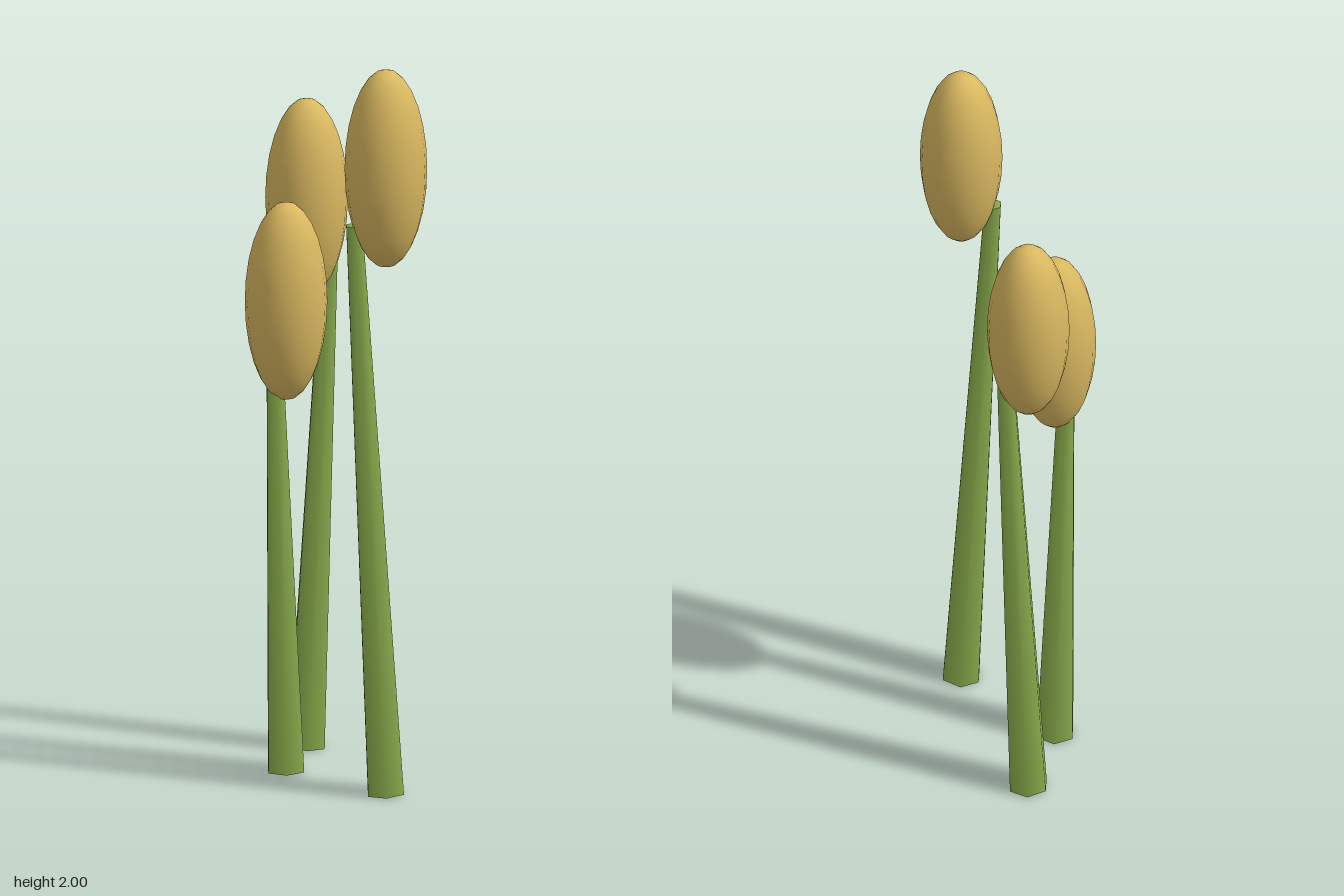
import * as THREE from 'three';

export function createModel() {
  const model = new THREE.Group();
  const stemGreen = new THREE.MeshStandardMaterial({ color: 0x86a84a });
  stemGreen.name = 'stem green';
  const headGold = new THREE.MeshStandardMaterial({ color: 0xd9b860 });
  headGold.name = 'seed head gold';

  // x, z, stem length, sideways lean of the stem top
  const stalks = [
    [0.13, 0.24, 1.57, -0.084],
    [-0.13, 0.0, 1.14, -0.03],
    [-0.07, -0.24, 1.36, 0.061],
  ];

  stalks.forEach(([x, z, length, lean], i) => {
    const stalk = new THREE.Group();
    stalk.name = `stalk${i + 1}`;
    stalk.position.set(x, 0, z);

    // Tapered six-sided stem, leaning from its base
    const stemShape = new THREE.CylinderGeometry(0.025, 0.055, length, 6);
    stemShape.translate(0, length / 2, 0);
    const stem = new THREE.Mesh(stemShape, stemGreen);
    stem.name = 'stem';
    stem.rotation.z = -Math.atan(lean / length);
    stem.position.y = 0.048 * Math.abs(lean / length);

    // Long egg-shaped head directly above the foot of the stem
    const head = new THREE.Mesh(new THREE.SphereGeometry(0.11, 18, 14), headGold);
    head.name = 'seedHead';
    head.scale.y = 2.48;
    head.position.y = length + 0.157;

    stalk.add(stem, head);
    model.add(stalk);
  });
  return model;
}
